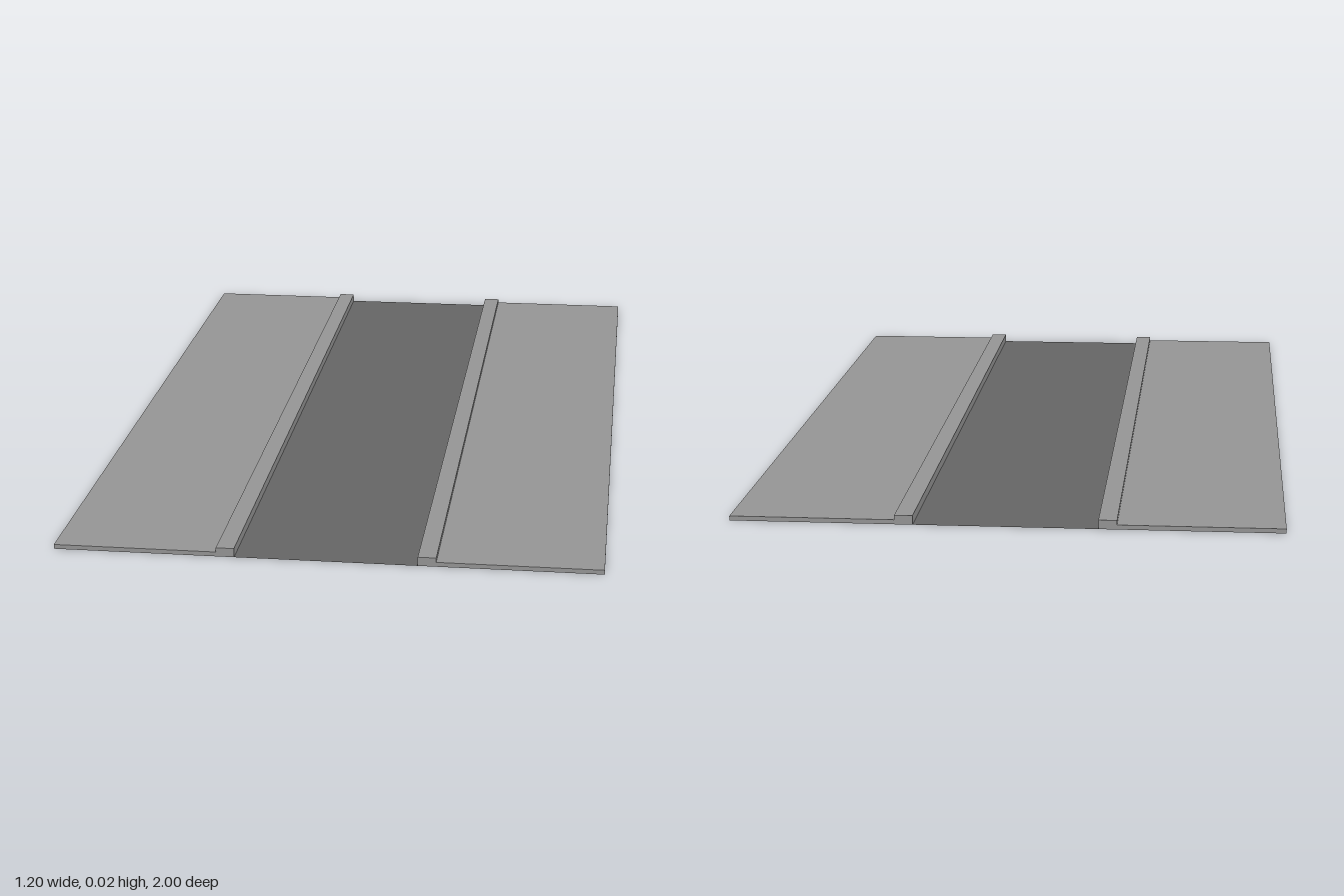
import * as THREE from 'three';
import { mergeGeometries } from 'three/addons/utils/BufferGeometryUtils.js';

const HALF_LENGTH = 1;

// Stepped section from the outer edge, over the curb, down to the road
const SECTION = [[0.6, 0], [0.6, 0.01], [0.24, 0.01], [0.24, 0.02], [0.2, 0.02], [0.2, 0]];

const sectionPoints = (side) => {
  const points = SECTION.map(([x, y]) => new THREE.Vector2(side * x, y));
  return side > 0 ? points : points.reverse();
};

// Open-bottomed strip: one flat quad per section segment, run along z
function sweepSection(side) {
  const points = sectionPoints(side);
  const positions = [];
  for (let i = 0; i < points.length - 1; i++) {
    const a = points[i], b = points[i + 1], z = HALF_LENGTH;
    positions.push(a.x, a.y, -z, b.x, b.y, -z, b.x, b.y, z);
    positions.push(a.x, a.y, -z, b.x, b.y, z, a.x, a.y, z);
  }
  const geometry = new THREE.BufferGeometry();
  geometry.setAttribute('position', new THREE.Float32BufferAttribute(positions, 3));
  geometry.computeVertexNormals();
  return geometry;
}

// Flat end face of the strip, facing +z
function endCap(side) {
  const geometry = new THREE.ShapeGeometry(new THREE.Shape(sectionPoints(side))).toNonIndexed();
  geometry.deleteAttribute('uv');
  return geometry.translate(0, 0, HALF_LENGTH);
}

export function createModel() {
  const group = new THREE.Group();
  group.name = 'roadSegment';

  const pavement = new THREE.MeshStandardMaterial({ color: 0x969696, side: THREE.DoubleSide });
  pavement.name = 'pavementGrey';
  const asphalt = new THREE.MeshStandardMaterial({ color: 0x666666, side: THREE.DoubleSide });
  asphalt.name = 'asphaltGrey';

  // Road surface
  const road = new THREE.Mesh(new THREE.PlaneGeometry(0.4, 2 * HALF_LENGTH).rotateX(-Math.PI / 2), asphalt);
  road.name = 'road';
  group.add(road);

  // Sidewalks with raised curbs
  for (const side of [1, -1]) {
    const geometry = mergeGeometries([
      sweepSection(side),
      endCap(side),
      endCap(-side).rotateY(Math.PI),
    ]);
    const sidewalk = new THREE.Mesh(geometry, pavement);
    sidewalk.name = side > 0 ? 'leftSidewalk' : 'rightSidewalk';
    group.add(sidewalk);
  }

  return group;
}
